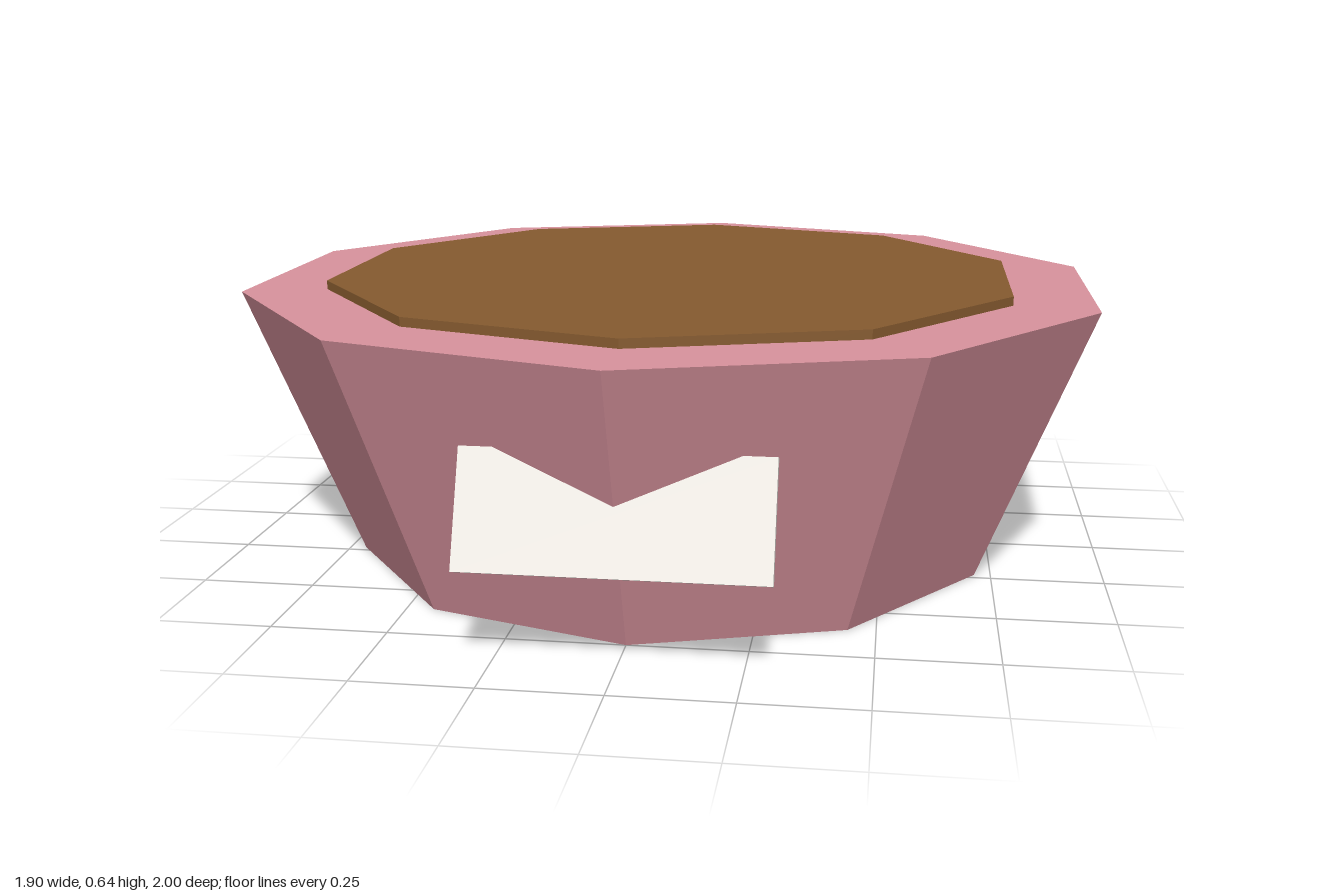
import * as THREE from 'three';

export function createModel() {
  const group = new THREE.Group();
  group.name = 'planter';

  const material = (name, color) => {
    const m = new THREE.MeshStandardMaterial({ color, flatShading: true });
    m.name = name;
    return m;
  };
  const add = (name, geometry, mat, y, z = 0) => {
    const mesh = new THREE.Mesh(geometry, mat);
    mesh.name = name;
    mesh.position.set(0, y, z);
    group.add(mesh);
    return mesh;
  };

  const sides = 10;
  const potHeight = 0.625;

  // Tapered ten-sided pot
  add('pot', new THREE.CylinderGeometry(1, 0.75, potHeight, sides),
    material('pink clay', 0xd8929d), potHeight / 2);

  // Soil disc, sunk into the pot and standing just above the rim
  const soilHeight = 0.1;
  add('soil', new THREE.CylinderGeometry(0.81, 0.81, soilHeight, sides),
    material('brown soil', 0x855a2f), 0.645 - soilHeight / 2);

  // Name plate leaning back, so the pot's front ridge cuts through its top
  const plate = add('namePlate', new THREE.BoxGeometry(0.62, 0.243, 0.022),
    material('off white', 0xede9e2), 0.316, 0.879);
  plate.rotation.x = -0.38;

  return group;
}
